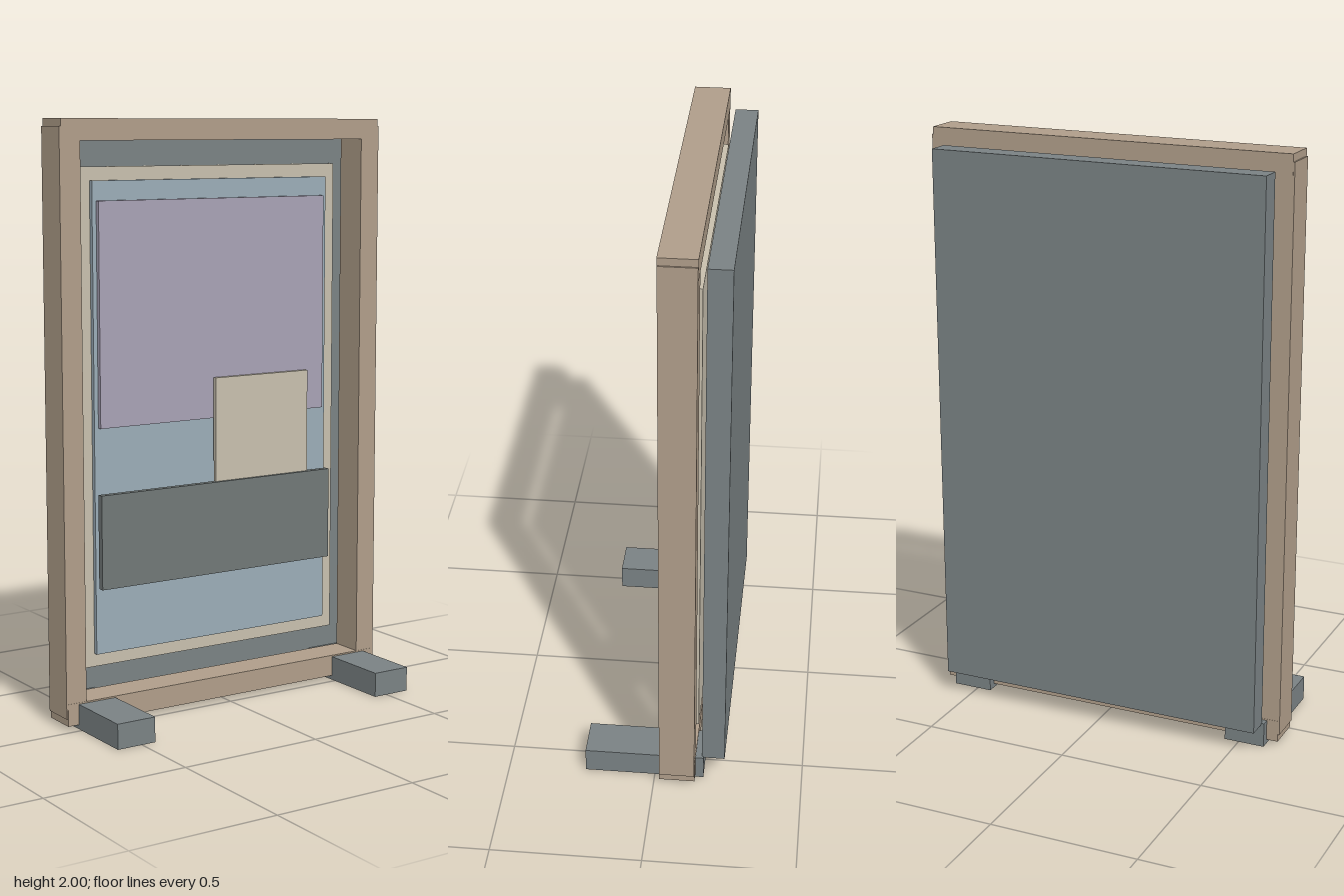
import * as THREE from 'three';

const mat = (name, color) => {
  const m = new THREE.MeshStandardMaterial({ color });
  m.name = name;
  return m;
};

export function createModel() {
  const wood = mat('warm wood', 0xb09e8a);
  const slate = mat('slate grey', 0x7a8284);
  const charcoal = mat('dark grey', 0x717877);
  const cream = mat('cream', 0xc8c0ae);
  const blue = mat('pale blue', 0x9badb8);
  const purple = mat('dusty purple', 0xa8a2b5);

  const model = new THREE.Group();
  model.name = 'displayBoard';

  // Box given by its low and high limits on each axis
  const block = (name, material, [x0, x1], [y0, y1], [z0, z1], parent = model) => {
    const mesh = new THREE.Mesh(new THREE.BoxGeometry(x1 - x0, y1 - y0, z1 - z0), material);
    mesh.position.set((x0 + x1) / 2, (y0 + y1) / 2, (z0 + z1) / 2);
    mesh.name = name;
    parent.add(mesh);
  };

  // Wooden frame: full-width rails, stiles standing slightly proud at the sides
  const frame = new THREE.Group();
  frame.name = 'frame';
  model.add(frame);
  block('topRail', wood, [-0.63, 0.63], [1.93, 2], [-0.139, -0.018], frame);
  block('bottomRail', wood, [-0.63, 0.63], [0.015, 0.09], [-0.139, -0.018], frame);
  block('leftStile', wood, [0.56, 0.635], [0.04, 1.975], [-0.138, -0.019], frame);
  block('rightStile', wood, [-0.635, -0.56], [0.04, 1.975], [-0.138, -0.019], frame);

  // Backing slab behind the frame
  block('backPanel', slate, [-0.58, 0.58], [0.08, 1.945], [-0.237, -0.16]);

  // Feet running front to back under the frame
  block('leftFoot', slate, [0.45, 0.59], [0, 0.085], [-0.166, 0.237]);
  block('rightFoot', slate, [-0.59, -0.45], [0, 0.085], [-0.166, 0.237]);

  // Layered display sheets, back to front
  block('mountBoard', cream, [-0.515, 0.515], [0.17, 1.845], [-0.143, -0.122]);
  block('displaySheet', blue, [-0.47, 0.47], [0.215, 1.8], [-0.122, -0.106]);
  block('upperSheet', purple, [-0.455, 0.45], [0.985, 1.735], [-0.106, -0.09]);
  block('noteCard', cream, [-0.01, 0.375], [0.755, 1.125], [-0.09, -0.076]);
  block('lowerBand', charcoal, [-0.468, 0.463], [0.445, 0.765], [-0.088, -0.065]);

  return model;
}
